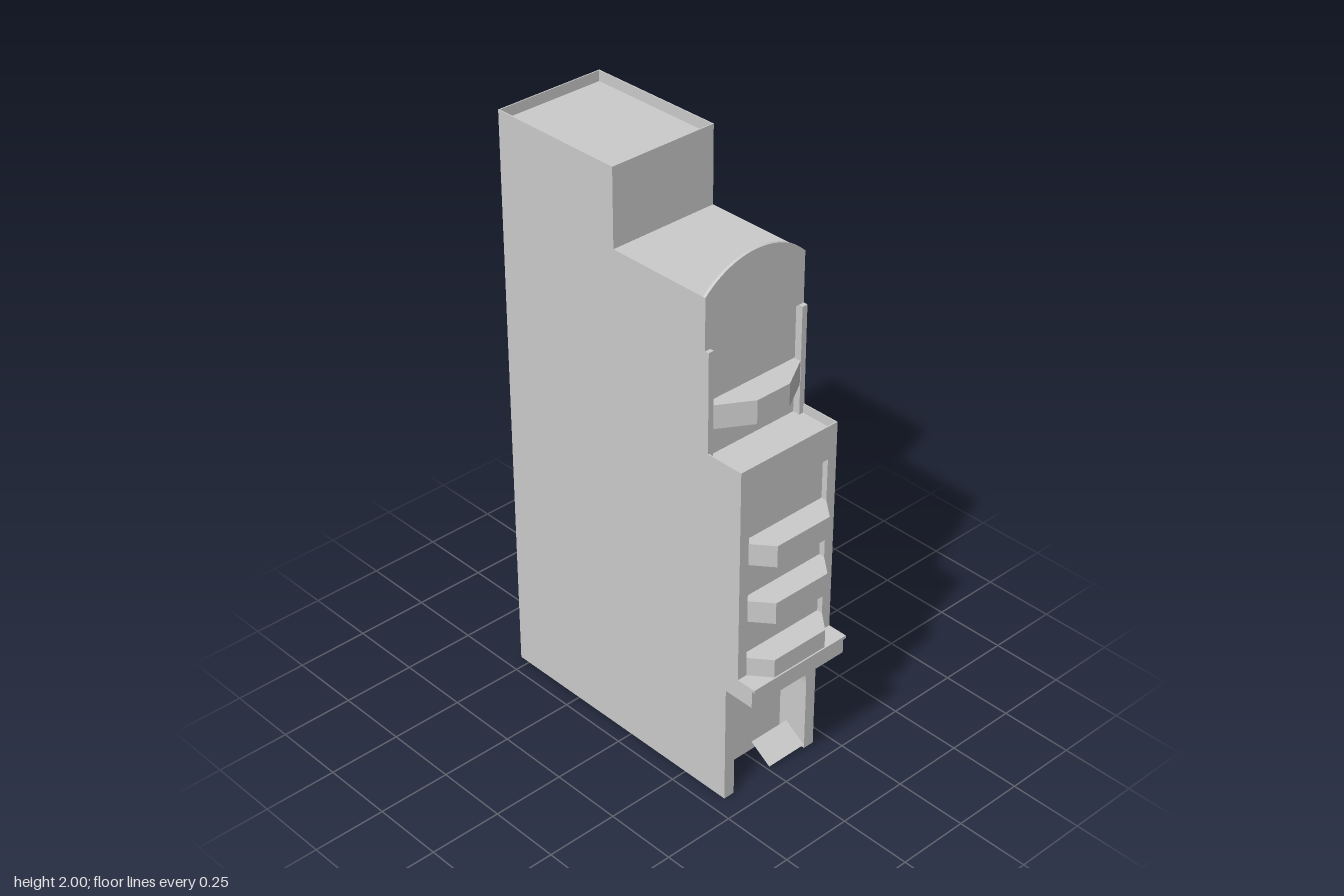
import * as THREE from 'three';

const W = 0.195; // half width of the building
const mat = new THREE.MeshStandardMaterial({ color: 0xcccccc, flatShading: true, side: THREE.DoubleSide });

export function createModel() {
  const root = new THREE.Group();

  const add = (name, geometry) => {
    const mesh = new THREE.Mesh(geometry, mat);
    mesh.name = name;
    root.add(mesh);
    return mesh;
  };
  // Box given by its limits
  const box = (name, x0, x1, y0, y1, z0, z1) =>
    add(name, new THREE.BoxGeometry(x1 - x0, y1 - y0, z1 - z0)
      .translate((x0 + x1) / 2, (y0 + y1) / 2, (z0 + z1) / 2));
  // Upright panel extruded from z0 to z1
  const panel = (name, shape, z0, z1) =>
    add(name, new THREE.ExtrudeGeometry(shape, { depth: z1 - z0, bevelEnabled: false, curveSegments: 20 })
      .translate(0, 0, z0));
  // Bay with a trapezoid plan, narrowing to the front
  const bay = (name, y0, y1, wide, narrow, zBack, zWall, zFront) => {
    const plan = new THREE.Shape([
      [-wide, -zBack], [-wide, -zWall], [-narrow, -zFront],
      [narrow, -zFront], [wide, -zWall], [wide, -zBack],
    ].map(([x, y]) => new THREE.Vector2(x, y)));
    add(name, new THREE.ExtrudeGeometry(plan, { depth: y1 - y0, bevelEnabled: false })
      .rotateX(-Math.PI / 2).translate(0, y0, 0));
  };

  // Rear tower with a sunken roof behind thin parapets
  const t = 0.004;
  box('rearTower', -W, W, 0, 1.965, -0.54, -0.05);
  box('towerParapetBack', -W, W, 1.965, 2, -0.54, -0.54 + t);
  box('towerParapetFront', -W, W, 1.965, 2, -0.05 - t, -0.05);
  for (const s of [-1, 1]) {
    const x = s * (W - t / 2);
    box('towerParapetSide', x - t / 2, x + t / 2, 1.965, 2, -0.54 + t, -0.05 - t);
  }

  // Main block with its flat roof
  box('mainBlock', -W, W, 0, 1.74, -0.05, 0.315);

  // Curved gable standing above the roof
  const gable = new THREE.Shape();
  const rise = 0.08, r = (W * W + rise * rise) / (2 * rise), a = Math.asin(W / r);
  gable.moveTo(-W, 1.57);
  gable.lineTo(W, 1.57);
  gable.lineTo(W, 1.74);
  gable.absarc(0, 1.82 - r, r, Math.PI / 2 - a, Math.PI / 2 + a, false);
  gable.closePath();
  panel('gable', gable, 0.315, 0.325);

  // Pilasters and balcony of the upper window
  for (const s of [-1, 1]) {
    const x = s * 0.185;
    box('upperPilaster', x - 0.01, x + 0.01, 1.205, 1.57, 0.315, 0.34);
  }
  bay('upperBalcony', 1.31, 1.39, 0.173, 0.065, 0.315, 0.34, 0.405);

  // Projecting middle storeys with a framed window recess
  box('middleStoreys', -W, W, 0.425, 1.205, 0.315, 0.455);
  const frame = new THREE.Shape();
  const pts = [[-W, 0.485], [-0.16, 0.485], [-0.16, 1.12], [0.16, 1.12],
    [0.16, 0.485], [W, 0.485], [W, 1.205], [-W, 1.205]];
  frame.setFromPoints(pts.map(([x, y]) => new THREE.Vector2(x, y)));
  panel('windowFrame', frame, 0.455, 0.475);
  box('terraceParapetFront', -W, W, 1.205, 1.235, 0.475 - t, 0.475);
  box('terraceFloor', -W, W, 1.2, 1.206, 0.455, 0.475 - t);
  for (const s of [-1, 1]) {
    const x = s * (W - t / 2);
    box('terraceParapetSide', x - t / 2, x + t / 2, 1.205, 1.235, 0.34, 0.475 - t);
  }
  for (const [y0, y1] of [[0.49, 0.56], [0.695, 0.77], [0.9, 0.975]])
    bay('balcony', y0, y1, 0.16, 0.107, 0.455, 0.475, 0.54);

  // Cornice with a thin lip
  box('cornice', -W, W, 0.425, 0.485, 0.42, 0.535);
  box('corniceLip', -W, W, 0.485, 0.495, 0.45, 0.545);

  // Ground floor front with an arched entrance
  const arch = new THREE.Shape();
  const ar = 0.155;
  arch.moveTo(-W, 0);
  arch.lineTo(-ar, 0);
  arch.lineTo(-ar, 0.257);
  arch.absarc(0, 0.257, ar, Math.PI, 0, true);
  arch.lineTo(ar, 0);
  arch.lineTo(W, 0);
  arch.lineTo(W, 0.425);
  arch.lineTo(-W, 0.425);
  arch.closePath();
  panel('entranceArch', arch, 0.315, 0.425);

  // Sloping ramp board in the entrance
  const dy = 0.052, dz = 0.08;
  const ramp = add('entranceRamp', new THREE.PlaneGeometry(0.154, Math.hypot(dy, dz)));
  ramp.rotation.x = -Math.atan2(dz, dy);
  ramp.position.set(0.077, 0.04, 0.385);

  return root;
}
